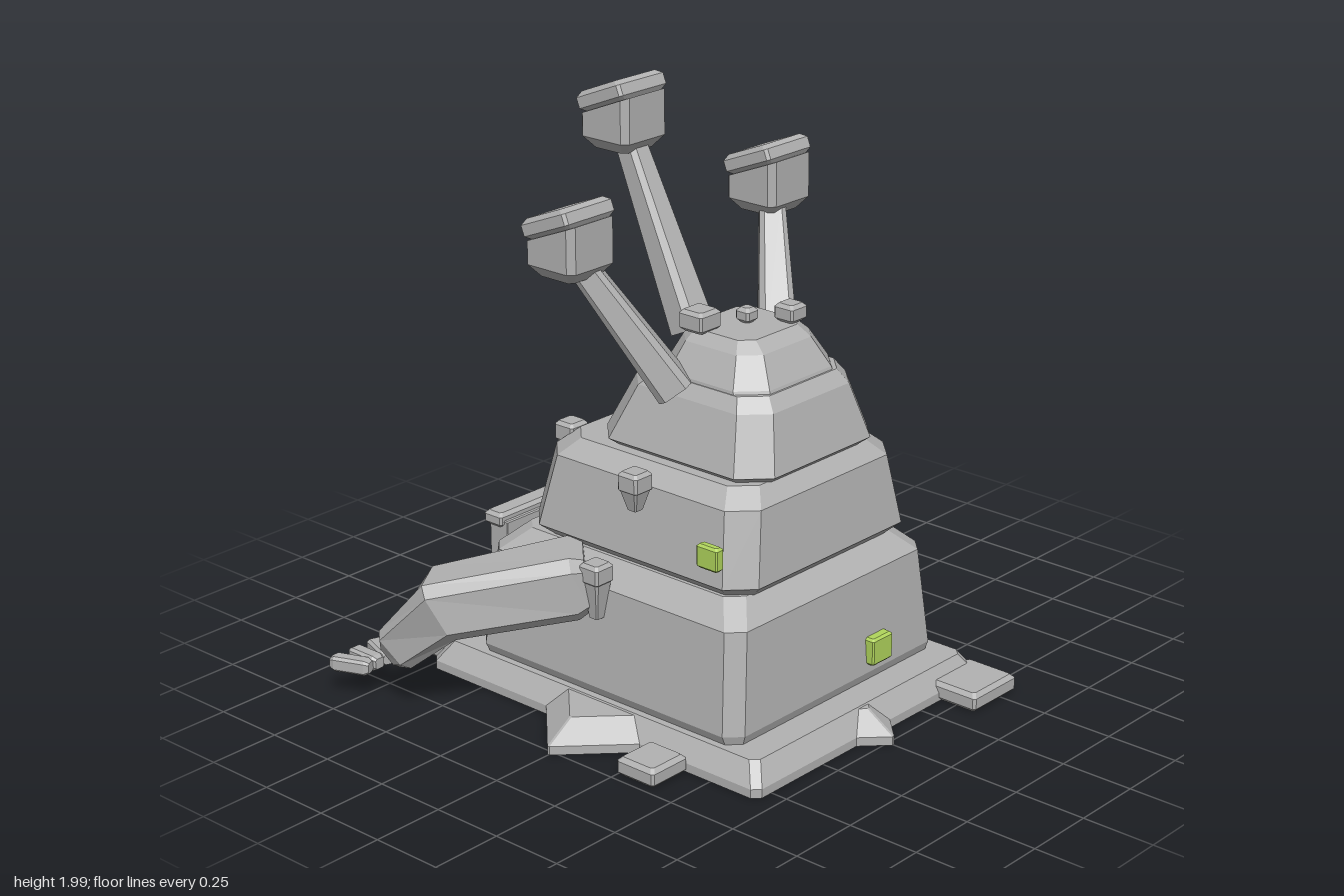
import * as THREE from 'three';

const grey = new THREE.MeshStandardMaterial({ color: 0xb2b2b2 });
grey.name = 'metal grey';
const green = new THREE.MeshStandardMaterial({ color: 0xb0d45c });
green.name = 'patch green';

// Rectangle with cut corners, counter-clockwise seen from above.
function ring(y, x0, x1, z0, z1, c) {
  return [[x1, z1 - c], [x1, z0 + c], [x1 - c, z0], [x0 + c, z0], [x0, z0 + c], [x0, z1 - c], [x0 + c, z1], [x1 - c, z1]]
    .map(([x, z]) => new THREE.Vector3(x, y, z));
}
const square = (y, h, c = h * 0.2) => ring(y, -h, h, -h, h, c);

// Closed flat-shaded skin through a stack of rings.
function loft(rings) {
  const pos = [];
  const tri = (...ps) => ps.forEach((p) => pos.push(p.x, p.y, p.z));
  const n = rings[0].length;
  for (let k = 0; k < rings.length - 1; k++) {
    const a = rings[k], b = rings[k + 1];
    for (let i = 0; i < n; i++) {
      const j = (i + 1) % n;
      tri(a[i], a[j], b[j]);
      tri(a[i], b[j], b[i]);
    }
  }
  const lo = rings[0], hi = rings[rings.length - 1];
  for (let i = 1; i < n - 1; i++) {
    tri(lo[0], lo[i + 1], lo[i]);
    tri(hi[0], hi[i], hi[i + 1]);
  }
  const g = new THREE.BufferGeometry();
  g.setAttribute('position', new THREE.Float32BufferAttribute(pos, 3));
  g.computeVertexNormals();
  return g;
}

// Bevelled box centred on the origin.
function block(w, h, d, b) {
  const r = (y, i) => ring(y, -w / 2 + i, w / 2 - i, -d / 2 + i, d / 2 - i, b * 0.6);
  return loft([r(-h / 2, b), r(-h / 2 + b, 0), r(h / 2 - b, 0), r(h / 2, b)]);
}

// Bar along a path: stations are [x, y, z, half width, half height].
function limb(stations) {
  const P = stations.map((s) => new THREE.Vector3(s[0], s[1], s[2]));
  return loft(stations.map((s, i) => {
    const t = new THREE.Vector3();
    if (i > 0) t.add(P[i].clone().sub(P[i - 1]).normalize());
    if (i < P.length - 1) t.add(P[i + 1].clone().sub(P[i]).normalize());
    t.normalize();
    const side = new THREE.Vector3().crossVectors(t, new THREE.Vector3(0, 1, 0)).normalize();
    const m = new THREE.Matrix4().makeBasis(side, t, side.clone().cross(t)).setPosition(P[i]);
    const w = s[3], h = s[4];
    return ring(0, -w, w, -h, h, Math.min(w, h) * 0.35).map((p) => p.applyMatrix4(m));
  }));
}

export function createModel() {
  const model = new THREE.Group();
  model.name = 'robot';
  const add = (name, geo, x = 0, y = 0, z = 0, mat = grey, parent = model) => {
    const m = new THREE.Mesh(geo, mat);
    m.name = name;
    m.position.set(x, y, z);
    parent.add(m);
    return m;
  };

  // Base: a bevelled plate over a diamond plate
  const plate = (y, i) => ring(y, -0.57 + i, 0.57 - i, -0.74 + i, 0.69 - i, 0.025);
  add('basePlate', loft([plate(0, 0), plate(0.03, 0), plate(0.1, 0.045)]));
  add('baseDiamond', loft([square(0, 0.548, 0.006), square(0.03, 0.548, 0.006), square(0.095, 0.475, 0.006)]))
    .rotation.y = Math.PI / 4;
  [[-0.65, 0.33, 0.16, 0.155], [0.455, 0.735, 0.225, 0.2], [-0.425, -0.775, 0.19, 0.12], [0.59, -0.415, 0.14, 0.24]]
    .forEach(([x, z, w, d]) => add('baseSlab', block(w, 0.065, d, 0.014), x, 0.0325, z));

  // Stacked body tiers: rows of [y, half width, back z, front z, corner cut]
  const tiers = {
    lowerBody: [[0.1, 0.5, -0.57, 0.54, 0.04], [0.13, 0.513, -0.585, 0.55, 0.05], [0.465, 0.476, -0.55, 0.525, 0.05], [0.54, 0.4, -0.47, 0.455, 0.05]],
    middleBody: [[0.53, 0.375, -0.38, 0.455, 0.06], [0.58, 0.434, -0.435, 0.51, 0.08], [0.82, 0.39, -0.39, 0.48, 0.08], [0.875, 0.33, -0.33, 0.43, 0.07]],
    upperBody: [[0.86, 0.27, -0.19, 0.42, 0.07], [0.9, 0.325, -0.235, 0.47, 0.09], [1.085, 0.265, -0.15, 0.42, 0.08], [1.13, 0.235, -0.09, 0.385, 0.07]],
    crown: [[1.11, 0.235, -0.07, 0.385, 0.08], [1.14, 0.23, -0.055, 0.375, 0.08], [1.235, 0.175, -0.01, 0.32, 0.06], [1.27, 0.14, 0.02, 0.275, 0.04]],
  };
  for (const [name, rows] of Object.entries(tiers)) {
    add(name, loft(rows.map(([y, h, z0, z1, c]) => ring(y, -h, h, z0, z1, c))));
  }
  [[-0.13, 1.3, 0.07, 0.098, 0.07], [0.015, 1.295, 0.14, 0.055, 0.05], [0.115, 1.3, 0.235, 0.078, 0.06]]
    .forEach(([x, y, z, s, h]) => add('crownBump', block(s, h, s, 0.012), x, y, z));

  // Eye stalks with slanted heads and tilted caps
  const tilt = 0.385;
  const slant = (r) => r.map((p) => p.setY(p.y + p.z * Math.tan(tilt)));
  const headGeo = loft([square(0, 0.07), square(0.04, 0.103), slant(square(0.15, 0.103))]);
  const capGeo = block(0.22, 0.068, 0.205, 0.016);
  [[0, 1.75, -0.37, 0, 1.2, -0.075, -0.345], [-0.47, 1.48, -0.16, -0.25, 1.1, 0.07, -0.13], [0.47, 1.48, -0.16, 0.25, 1.1, 0.07, -0.13]]
    .forEach(([x, y, z, bx, by, bz, tz]) => {
      add('eyeStalk', limb([[bx, by, bz, 0.064, 0.06], [x * 0.96, y + 0.03, tz, 0.042, 0.042]]));
      add('eyeHead', headGeo, x, y, z);
      add('eyeCap', capGeo, x, y + 0.181, z - 0.008).rotation.x = -tilt;
    });

  // Arms and three-fingered hands
  for (const s of [-1, 1]) {
    add('arm', limb([
      [0.45 * s, 0.47, -0.13, 0.11, 0.09], [0.48 * s, 0.465, -0.16, 0.13, 0.108],
      [0.775 * s, 0.39, -0.45, 0.115, 0.105], [0.815 * s, 0.215, -0.6, 0.082, 0.08], [0.82 * s, 0.18, -0.63, 0.055, 0.05],
    ]));
    [[0.785, 0.738], [0.826, 0.826], [0.866, 0.918]].forEach(([x0, x1]) => {
      add('finger', limb([
        [x0 * s, 0.113, -0.71, 0.018, 0.018], [(x0 + (x1 - x0) * 0.12) * s, 0.113, -0.725, 0.026, 0.026],
        [(x1 + (x0 - x1) * 0.12) * s, 0.113, -0.825, 0.026, 0.026], [x1 * s, 0.113, -0.84, 0.018, 0.018],
      ]));
    });
  }

  // Tapered pegs on the tiers
  const peg = (len) => loft([square(-len, 0.018), square(-0.065, 0.036), square(-0.06, 0.041), square(-0.012, 0.041), square(0, 0.03)]);
  const shortPeg = peg(0.13), longPeg = peg(0.19);
  [[-0.435, 0.88, 0.07], [0.43, 0.88, 0.12], [0.405, 0.88, -0.205], [-0.245, 0.88, -0.385], [0.23, 0.88, -0.39], [0.425, 0.82, -0.17]]
    .forEach(([x, y, z]) => add('peg', y < 0.85 ? longPeg : shortPeg, x, y, z));
  for (const s of [-1, 1]) add('peg', longPeg, 0.5 * s, 0.56, -0.04);

  // Rear grille: panel, frame and hanging spikes
  const grille = new THREE.Group();
  grille.name = 'rearGrille';
  model.add(grille);
  const bar = block(0.81, 0.05, 0.08, 0.012);
  add('grilleTop', bar, 0, 0.52, -0.6, grey, grille);
  add('grilleBottom', bar, 0, 0.18, -0.605, grey, grille);
  add('grillePanel', block(0.78, 0.34, 0.05, 0.004), 0, 0.35, -0.57, grey, grille);
  const post = block(0.04, 0.34, 0.05, 0.01);
  for (const s of [-1, 1]) add('grillePost', post, 0.37 * s, 0.35, -0.605, grey, grille);
  const spike = loft([square(-0.2, 0.004), square(0, 0.026)]);
  for (let i = 0; i < 7; i++) add('grilleSpike', spike, -0.285 + i * 0.095, 0.5, -0.605, grey, grille);
  add('grilleLatch', block(0.075, 0.05, 0.09, 0.01), 0.06, 0.53, -0.53, grey, grille);

  // Green patches
  [[0.19, 0.205, 0.55, 0.1, 0.095, 0.05], [0.525, 0.33, 0.275, 0.038, 0.12, 0.12], [-0.457, 0.69, 0.4, 0.035, 0.08, 0.085], [0.45, 0.74, -0.117, 0.04, 0.08, 0.08]]
    .forEach(([x, y, z, w, h, d]) => add('greenPatch', block(w, h, d, 0.008), x, y, z, green));

  return model;
}
